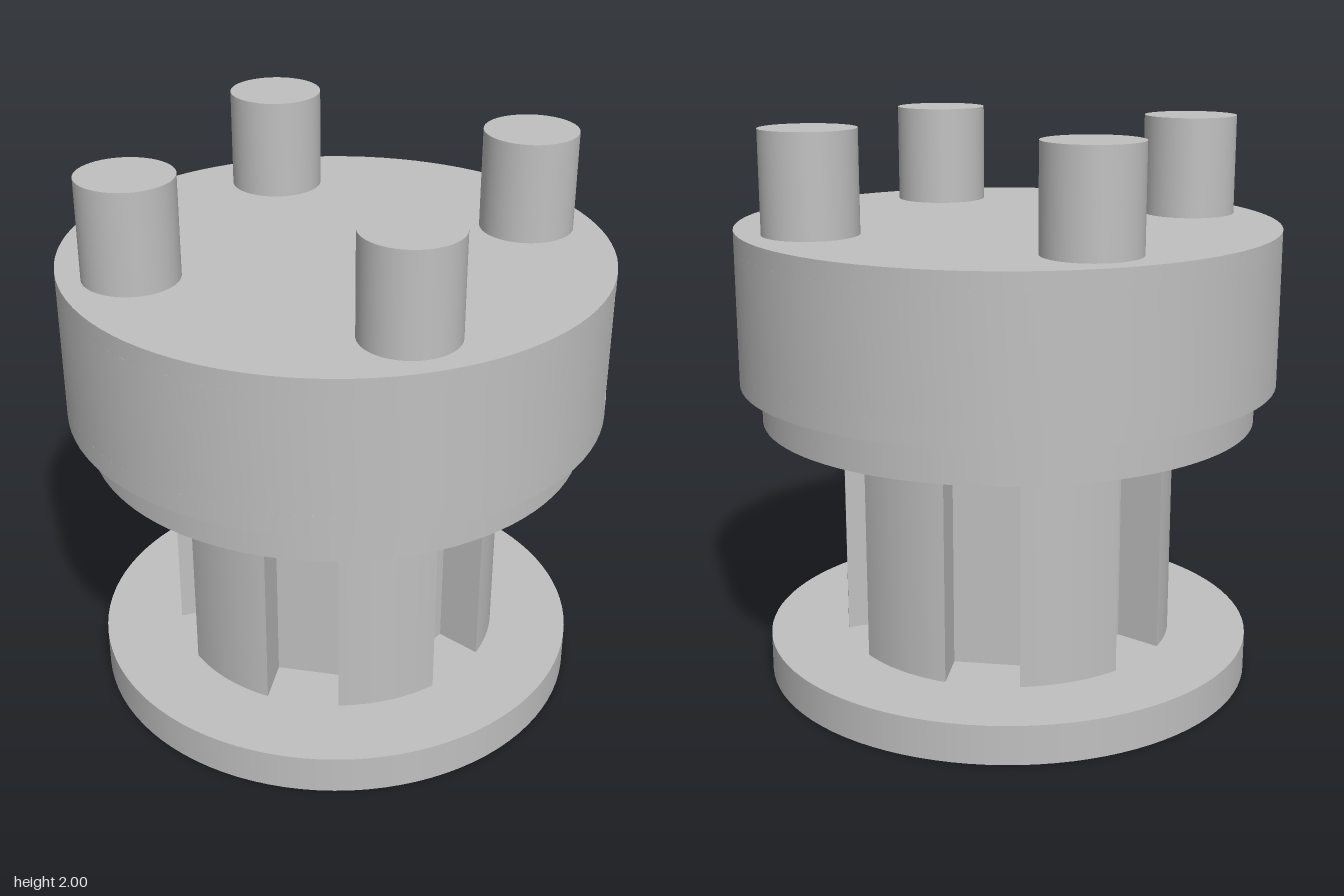
import * as THREE from 'three';
import { toCreasedNormals } from 'three/addons/utils/BufferGeometryUtils.js';

// Outline of a disc with straight-sided, flat-floored slots cut into its rim
function slottedDisc(radius, slotAngles, halfWidth, floorDist) {
  const shape = new THREE.Shape();
  const half = Math.asin(halfWidth / radius);
  slotAngles.forEach((a, i) => {
    const at = (u, v) => [
      u * Math.cos(a) - v * Math.sin(a),
      u * Math.sin(a) + v * Math.cos(a),
    ];
    const rim = radius * Math.cos(half);
    if (i === 0) shape.moveTo(...at(rim, -halfWidth));
    shape.lineTo(...at(floorDist, -halfWidth));
    shape.lineTo(...at(floorDist, halfWidth));
    shape.lineTo(...at(rim, halfWidth));
    const next = i + 1 < slotAngles.length ? slotAngles[i + 1] : slotAngles[0] + Math.PI * 2;
    shape.absarc(0, 0, radius, a + half, next - half, false);
  });
  return shape;
}

export function createModel() {
  const group = new THREE.Group();
  const grey = new THREE.MeshStandardMaterial({ color: 0xc0c0c0 });
  grey.name = 'grey';

  const add = (name, geometry, x, y, z) => {
    const mesh = new THREE.Mesh(geometry, grey);
    mesh.name = name;
    mesh.position.set(x, y, z);
    group.add(mesh);
  };
  const disc = (name, radius, y0, y1, x = 0, z = 0, segments = 96) =>
    add(name, new THREE.CylinderGeometry(radius, radius, y1 - y0, segments), x, (y0 + y1) / 2, z);
  const extrudeUp = (name, shape, y0, y1, curveSegments) => {
    const geometry = new THREE.ExtrudeGeometry(shape, { depth: y1 - y0, bevelEnabled: false, curveSegments });
    geometry.rotateX(-Math.PI / 2);
    add(name, toCreasedNormals(geometry, 0.4), 0, y0, 0);
  };

  // Base and slotted core
  disc('baseFlange', 0.885, 0, 0.14);
  const coreSlots = Array.from({ length: 6 }, (_, i) => (i * Math.PI) / 3);
  extrudeUp('slottedCore', slottedDisc(0.6, coreSlots, 0.13, 0.416), 0.14, 0.955, 8);
  disc('upperFlange', 0.885, 0.955, 1.095);

  // Head in three layers, the middle one with a single key slot
  disc('headLower', 0.96, 1.095, 1.17);
  extrudeUp('headMiddle', slottedDisc(0.96, [-Math.PI / 6], 0.06, 0.85), 1.17, 1.58, 48);
  disc('headUpper', 0.96, 1.58, 1.645);

  // Four pins around the top
  for (let i = 0; i < 4; i++) {
    const a = (i * Math.PI) / 2;
    disc('pin' + (i + 1), 0.167, 1.645, 2, 0.715 * Math.cos(a), 0.715 * Math.sin(a), 48);
  }
  return group;
}
